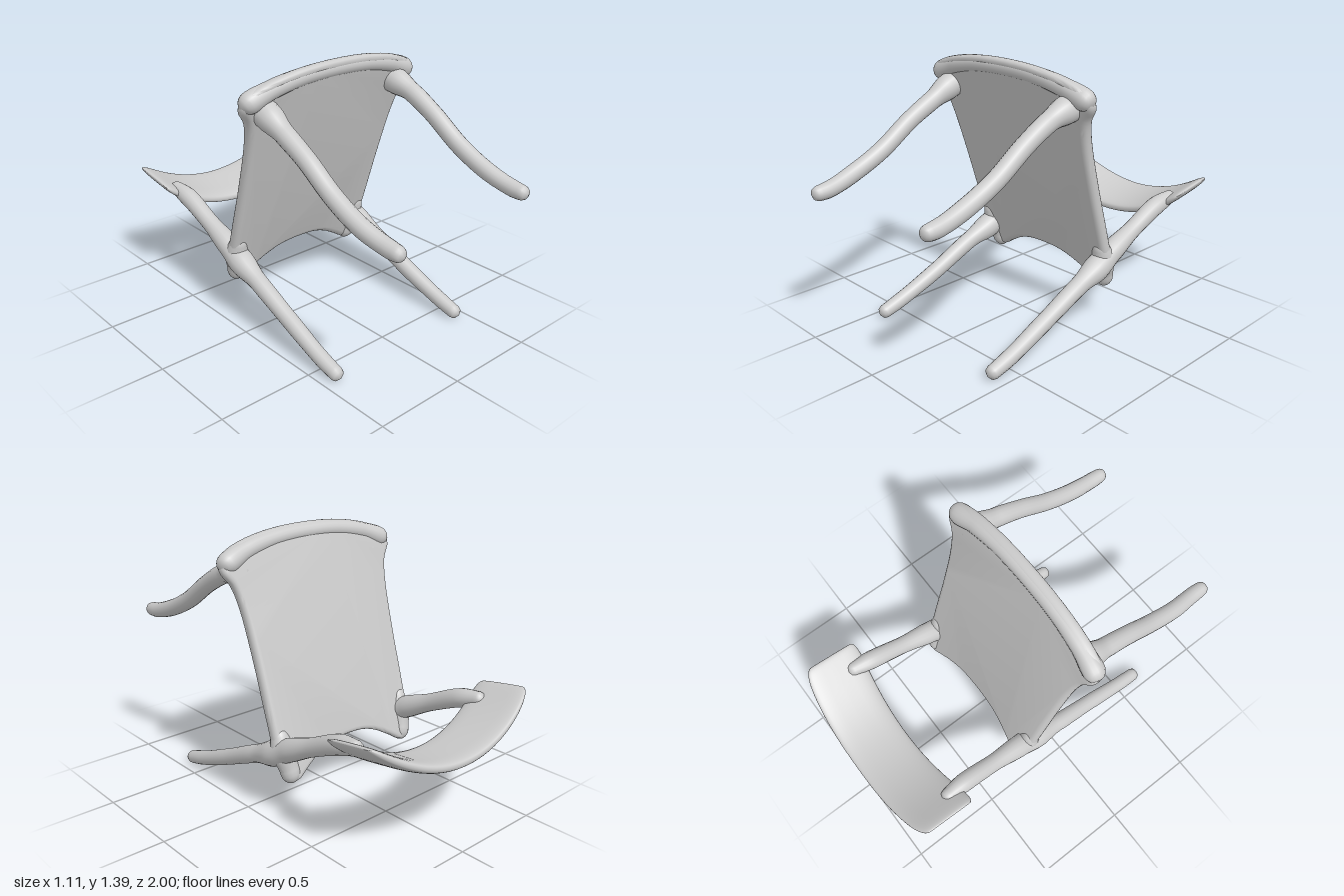
import * as THREE from 'three';
import { mergeVertices, toCreasedNormals } from 'three/addons/utils/BufferGeometryUtils.js';

const material = new THREE.MeshStandardMaterial({ color: 0xcccccc, side: THREE.DoubleSide });

// depth of the tilted seat plane at a given height
const seatZ = (y) => 0.31 * y - 0.295;

function add(group, name, geometry) {
  const mesh = new THREE.Mesh(geometry, material);
  mesh.name = name;
  group.add(mesh);
}

function smooth(geometry) {
  geometry.deleteAttribute('normal');
  geometry.deleteAttribute('uv');
  const merged = mergeVertices(geometry, 1e-5);
  merged.computeVertexNormals();
  return merged;
}

// round-ended limb through points [x, y, z, radius]
function limb(points) {
  const segments = 90, sides = 16;
  const curve = new THREE.CatmullRomCurve3(points.map((p) => new THREE.Vector3(p[0], p[1], p[2])));
  const geometry = new THREE.TubeGeometry(curve, segments, 1, sides);
  const length = curve.getLength();
  const pos = geometry.attributes.position;
  const v = new THREE.Vector3();
  for (let i = 0; i <= segments; i++) {
    const u = i / segments;
    const center = curve.getPointAt(u);
    const t = curve.getUtoTmapping(u) * (points.length - 1);
    const k = Math.min(Math.floor(t), points.length - 2);
    let r = THREE.MathUtils.lerp(points[k][3], points[k + 1][3], THREE.MathUtils.smoothstep(t - k, 0, 1));
    const end = Math.min(u, 1 - u) * length;
    if (end < r) r *= Math.sqrt(Math.max(0, 1 - (1 - end / r) ** 2));
    for (let j = 0; j <= sides; j++) {
      const n = i * (sides + 1) + j;
      v.fromBufferAttribute(pos, n).sub(center).multiplyScalar(r).add(center);
      pos.setXYZ(n, v.x, v.y, v.z);
    }
  }
  return smooth(geometry);
}

// thin seat slab with arched rear edge and flared front corners
function seatGeometry() {
  const half = [
    [0.1, 0.335], [0.2, 0.305], [0.3, 0.25], [0.36, 0.215], [0.41, 0.22], [0.45, 0.29],
    [0.46, 0.5], [0.465, 0.8], [0.48, 1.05], [0.505, 1.16], [0.55, 1.235], [0.53, 1.3],
    [0.45, 1.345], [0.2, 1.395],
  ];
  const outline = [...half, ...half.map(([x, y]) => [-x, y]).reverse()];
  const curve = new THREE.CatmullRomCurve3(outline.map(([x, y]) => new THREE.Vector3(x, y, 0)), true);
  const shape = new THREE.Shape(curve.getPoints(140).slice(0, -1).map((p) => new THREE.Vector2(p.x, p.y)));
  const geometry = new THREE.ExtrudeGeometry(shape, {
    depth: 0.014, bevelThickness: 0.028, bevelSize: 0.028, bevelOffset: -0.028, bevelSegments: 4,
  });
  const pos = geometry.attributes.position;
  for (let i = 0; i < pos.count; i++) pos.setZ(i, pos.getZ(i) - 0.007 + seatZ(pos.getY(i)));
  return toCreasedNormals(geometry, 0.7);
}

// curved back panel lofted across x from rounded cross-sections
function backrestGeometry() {
  const stations = 56, ring = 32, width = 0.535;
  const vertices = [], index = [];
  const power = (a, p) => Math.sign(a) * Math.abs(a) ** p;
  for (let i = 0; i <= stations; i++) {
    const x = -width * Math.cos((Math.PI * i) / stations);
    const s = Math.abs(x) / width;
    const edge = Math.sqrt(Math.max(0, 1 - s ** 14));
    const z0 = -0.685 + 0.07 * s * s, z1 = -1 + 0.07 * s ** 2.5;
    const halfDepth = ((z0 - z1) / 2) * (0.75 + 0.25 * edge);
    for (let j = 0; j < ring; j++) {
      const a = (j / ring) * Math.PI * 2;
      const z = (z0 + z1) / 2 + halfDepth * power(Math.cos(a), 0.5);
      const t = (-0.68 - z) / 0.32;
      const y = 0.422 + 0.05 * t + 0.21 * s * s + 0.03 * edge * power(Math.sin(a), 0.7);
      vertices.push(x, y, z);
      if (i < stations) {
        const p = i * ring + j, q = i * ring + ((j + 1) % ring);
        index.push(p, p + ring, q, q, p + ring, q + ring);
      }
    }
  }
  const geometry = new THREE.BufferGeometry();
  geometry.setAttribute('position', new THREE.Float32BufferAttribute(vertices, 3));
  geometry.setIndex(index);
  geometry.computeVertexNormals();
  return geometry;
}

export function createModel() {
  const chair = new THREE.Group();
  chair.name = 'tippedChair';

  add(chair, 'seat', seatGeometry());
  add(chair, 'backrest', backrestGeometry());

  // thickened roll along the front of the seat
  const rim = [
    [-0.55, 1.245, 0.05], [-0.49, 1.275, 0.055], [-0.38, 1.315, 0.047], [-0.2, 1.348, 0.043], [0, 1.357, 0.042],
    [0.2, 1.348, 0.043], [0.38, 1.315, 0.047], [0.49, 1.275, 0.055], [0.55, 1.245, 0.05],
  ];
  add(chair, 'frontRim', limb(rim.map(([x, y, r]) => [x, y, seatZ(y), r])));

  for (const side of [1, -1]) {
    const label = side > 0 ? 'left' : 'right';
    const drop = side > 0 ? 0 : 0.04; // one front leg sits slightly lower
    const tip = side > 0 ? 0.425 : 0.408;

    // wavy front leg, flared where it meets the seat
    add(chair, label + 'FrontLeg', limb([
      [side * 0.42, 1.23, 0.05, 0.075], [side * 0.42, 1.215 - drop / 2, 0.14, 0.068],
      [side * 0.42, 1.18 - drop, 0.25, 0.05], [side * 0.42, 1.1 - drop, 0.4, 0.047],
      [side * 0.42, 0.98 - drop, 0.58, 0.046], [side * 0.42, 0.9 - drop, 0.75, 0.045],
      [side * tip, 0.855 - drop, 0.9, 0.042], [side * tip, 0.845 - drop, 1, 0.036],
    ]));

    // rear leg running on into the backrest post
    add(chair, label + 'RearLegAndPost', limb([
      [side * 0.425, 0.035, 0.65, 0.036], [side * 0.425, 0.08, 0.5, 0.04], [side * 0.42, 0.17, 0.27, 0.044],
      [side * 0.42, 0.28, 0.02, 0.048], [side * 0.415, 0.335, -0.13, 0.068], [side * 0.415, 0.39, -0.24, 0.06],
      [side * 0.417, 0.472, -0.42, 0.047], [side * 0.42, 0.55, -0.6, 0.05], [side * 0.43, 0.585, -0.75, 0.035],
    ]));

    // rounded rear corner of the seat
    add(chair, label + 'RearCorner', limb([
      [side * 0.415, 0.48, seatZ(0.48), 0.04], [side * 0.41, 0.36, seatZ(0.36), 0.06],
      [side * 0.395, 0.27, seatZ(0.27), 0.05], [side * 0.385, 0.2, -0.225, 0.042],
    ]));
  }
  return chair;
}
